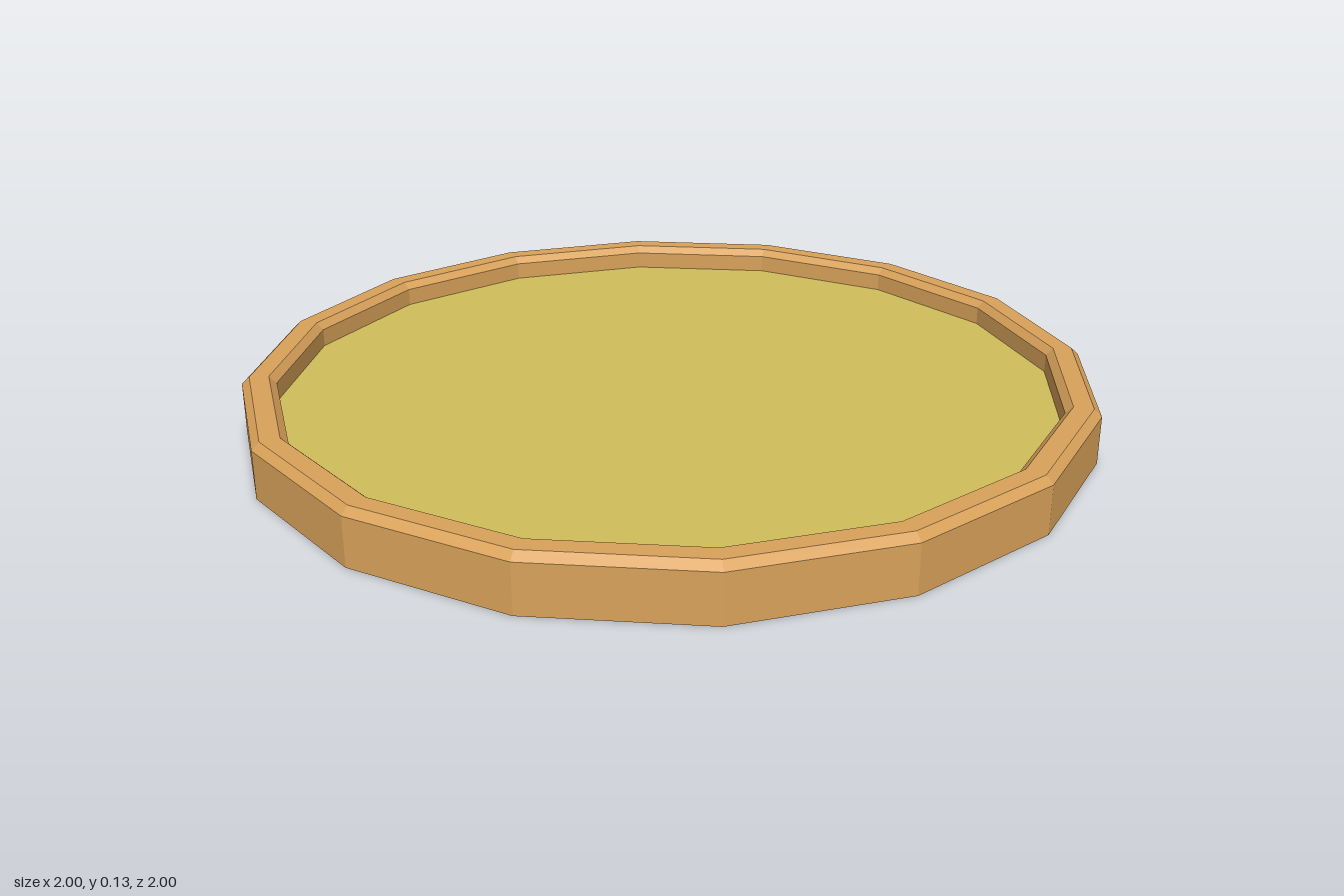
import * as THREE from 'three';

const SIDES = 16;
const FLOOR_Y = 0.07;

export function createModel() {
  const group = new THREE.Group();
  group.name = 'roundTray';

  const wood = new THREE.MeshStandardMaterial({ color: 0xd9a25a, flatShading: true });
  const lining = new THREE.MeshStandardMaterial({ color: 0xd0be5a, flatShading: true });

  // Underside, outer wall, chamfered rim and inner wall in one profile
  const profile = [
    [0, 0], [1, 0], [1, 0.113], [0.982, 0.13],
    [0.937, 0.13], [0.92, 0.113], [0.92, FLOOR_Y],
  ].map(([r, y]) => new THREE.Vector2(r, y));
  const frame = new THREE.Mesh(new THREE.LatheGeometry(profile, SIDES), wood);
  frame.name = 'frame';
  group.add(frame);

  // Recessed floor inside the rim
  const floor = new THREE.Mesh(new THREE.CircleGeometry(0.92, SIDES), lining);
  floor.name = 'floor';
  floor.rotation.x = -Math.PI / 2;
  floor.position.y = FLOOR_Y;
  group.add(floor);

  return group;
}
